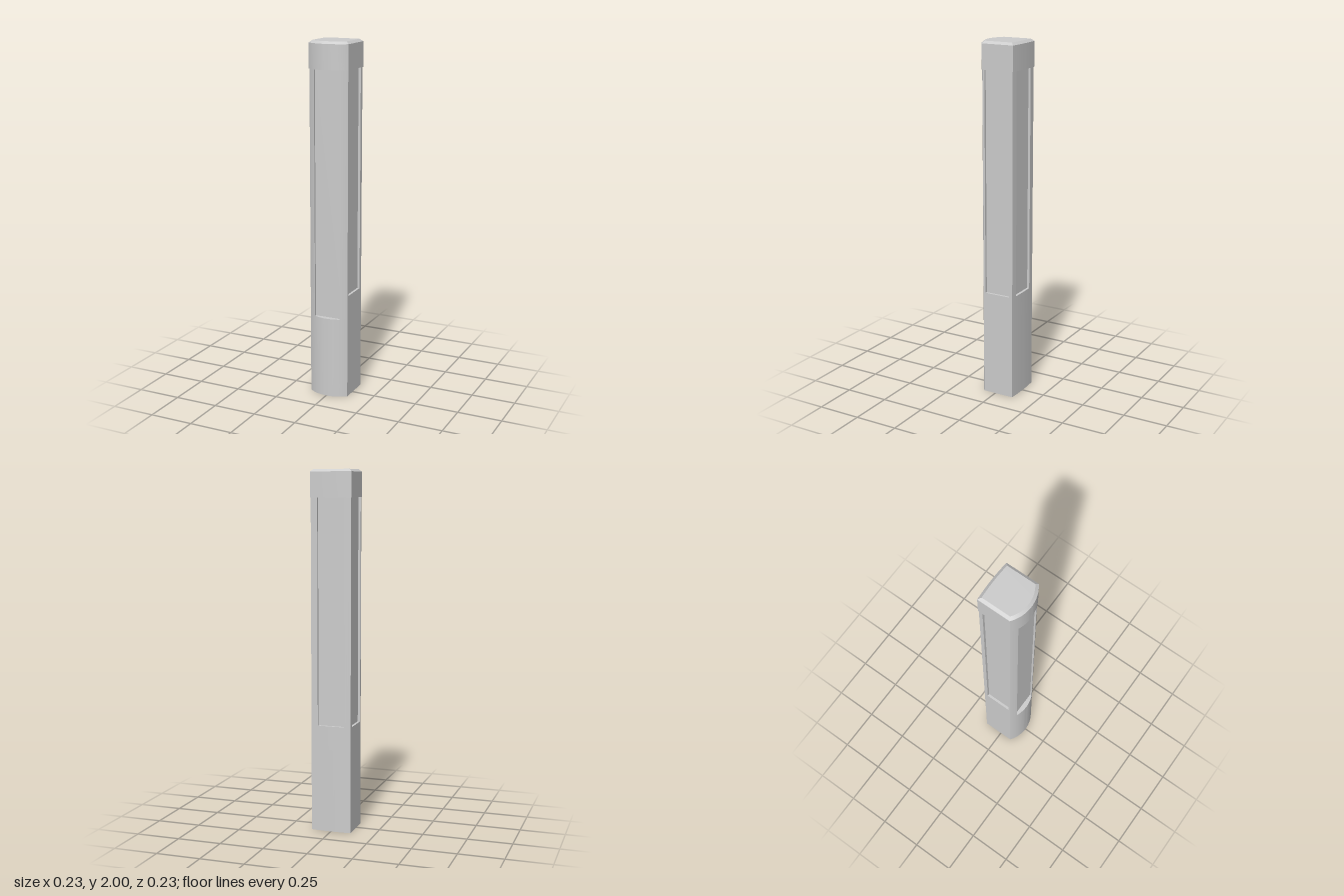
import * as THREE from 'three';
import { toCreasedNormals } from 'three/addons/utils/BufferGeometryUtils.js';

const HALF = 0.117, FRONT = 0.075, BACK = -0.113;   // corners of the plan
const PANEL = 0.078;                                // half width of front and back panels
const frontZ = x => 0.115 - 0.191 + Math.sqrt(0.191 ** 2 - x * x);  // bowed front
const backZ = x => -0.118 + 0.005 * (x / HALF) ** 2;                // slightly bowed back

// points along a bowed edge from x0 to x1
function arc(f, x0, x1, n) {
  return Array.from({ length: n + 1 }, (_, i) => {
    const x = x0 + (x1 - x0) * i / n;
    return [x, f(x)];
  });
}

// a bowed face, optionally cut back to a flat panel in the middle
function face(f, dir, notch, panelZ) {
  const w = HALF * dir, p = PANEL * dir;
  if (!notch) return arc(f, w, -w, 24);
  return [...arc(f, w, p, 5), [p, panelZ], [-p, panelZ], ...arc(f, -p, -w, 5)];
}

// plan outline as [x, z] points, with recesses where asked
function outline(frontNotch, otherNotch) {
  const inX = HALF - 0.014;
  const side = s => otherNotch
    ? [[s * HALF, 0.063], [s * inX, 0.063], [s * inX, -0.091], [s * HALF, -0.091]]
    : [];
  return [
    ...face(frontZ, 1, frontNotch, 0.087),
    ...side(-1),
    ...face(backZ, -1, otherNotch, -0.102),
    ...side(1).reverse(),
  ];
}

// upright slab of the outline between two heights; the top may taper
function slab(name, points, y0, y1, scale, topScale, material) {
  const shape = new THREE.Shape(points.map(([x, z]) => new THREE.Vector2(x * scale, -z * scale)));
  const geo = new THREE.ExtrudeGeometry(shape, { depth: y1 - y0, bevelEnabled: false });
  geo.rotateX(-Math.PI / 2);
  const pos = geo.attributes.position;
  for (let i = 0; i < pos.count; i++) {
    if (pos.getY(i) > (y1 - y0) / 2) {
      pos.setX(i, pos.getX(i) * topScale);
      pos.setZ(i, pos.getZ(i) * topScale);
    }
  }
  geo.translate(0, y0, 0);
  const mesh = new THREE.Mesh(toCreasedNormals(geo, 0.4), material);
  mesh.name = name;
  return mesh;
}

export function createModel() {
  const group = new THREE.Group();
  group.name = 'pillar';
  const grey = new THREE.MeshStandardMaterial({ color: 0xcccccc });
  const body = 0.975;   // the shaft sits just inside the cap
  group.add(
    slab('base', outline(false, false), 0, 0.465, body, 1, grey),
    slab('lowerShaft', outline(true, false), 0.465, 0.6, body, 1, grey),
    slab('panelledShaft', outline(true, true), 0.6, 1.85, body, 1, grey),
    slab('cap', outline(false, false), 1.85, 1.987, 1, 1, grey),
    slab('capChamfer', outline(false, false), 1.987, 2, 1, 0.866, grey),
  );
  return group;
}
